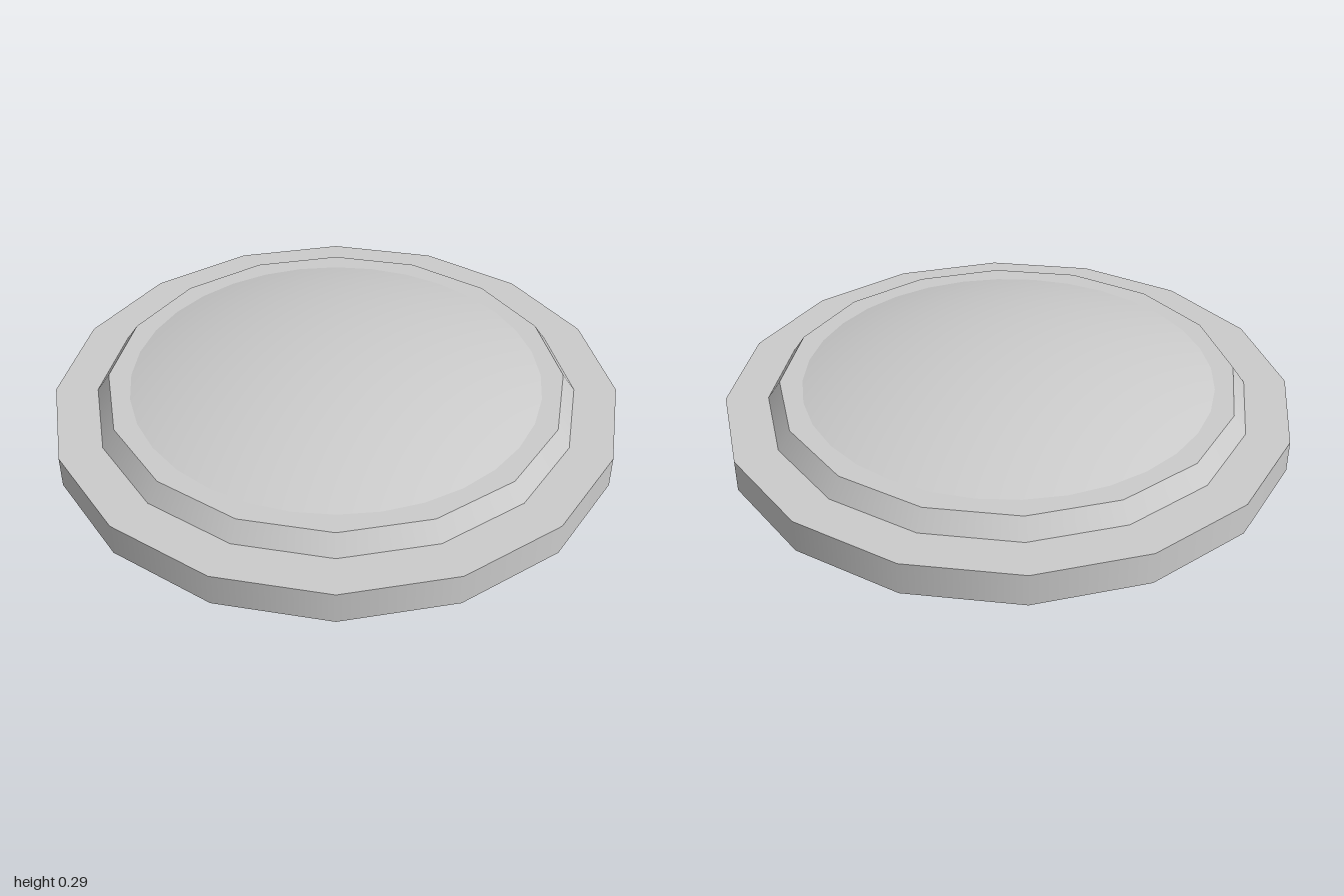
import * as THREE from 'three';

const SIDES = 16;

export function createModel() {
  const model = new THREE.Group();
  const material = new THREE.MeshStandardMaterial({ color: 0xcccccc });

  const add = (name, geometry, y) => {
    const mesh = new THREE.Mesh(geometry, material);
    mesh.name = name;
    mesh.position.y = y;
    model.add(mesh);
  };

  // Flat base disc
  add('base', new THREE.CylinderGeometry(1, 1, 0.115, SIDES), 0.0575);

  // Bevelled ring step around the dome
  add('bezel', new THREE.CylinderGeometry(0.805, 0.85, 0.065, SIDES), 0.1475);

  // Shallow dome: a spherical cap defined by its rim radius and rise
  const rim = 0.725, rise = 0.106;
  const radius = (rim * rim + rise * rise) / (2 * rise);
  const angle = Math.asin(rim / radius);
  add('dome', new THREE.SphereGeometry(radius, 32, 12, 0, Math.PI * 2, 0, angle), 0.286 - radius);

  return model;
}
